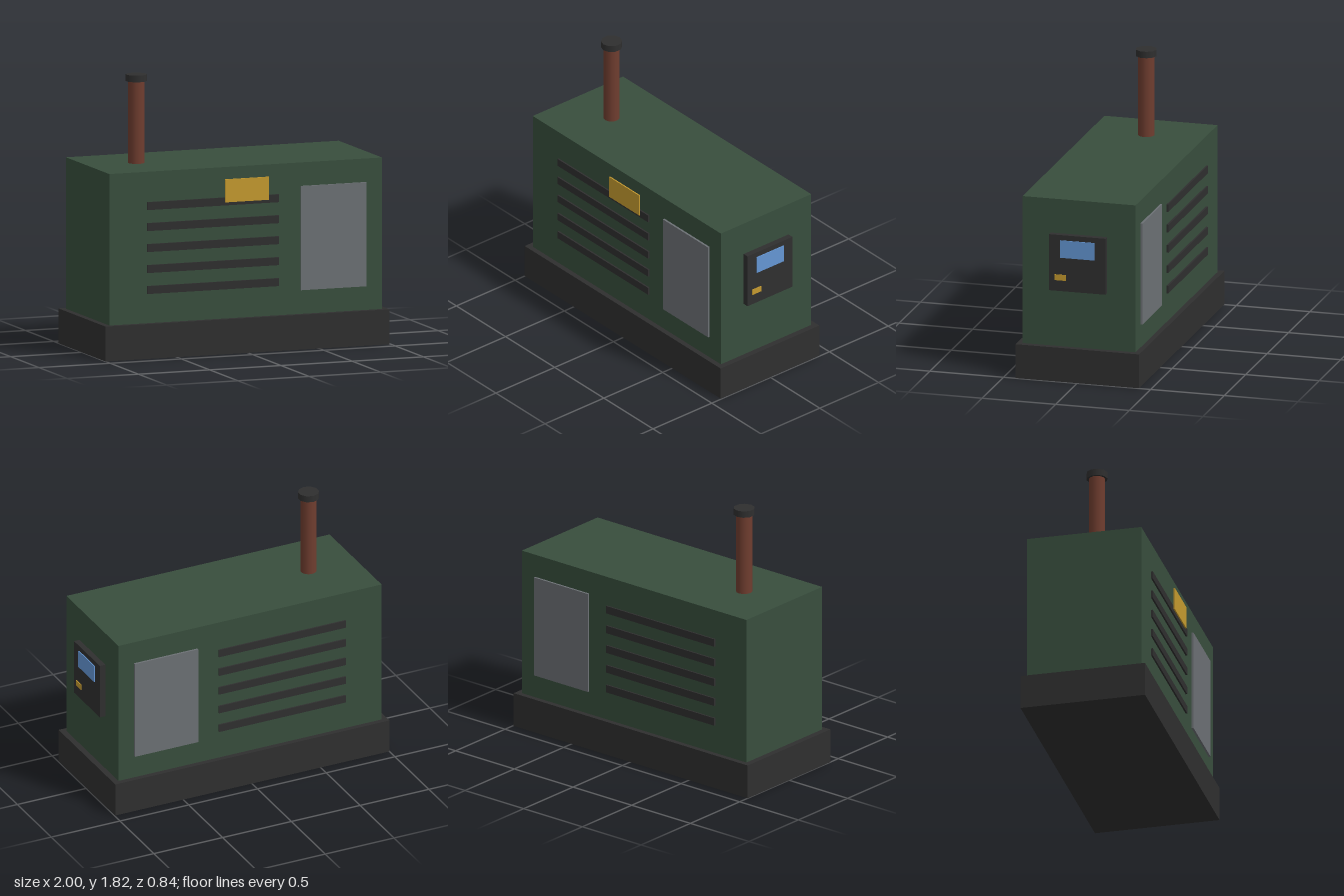
import * as THREE from 'three';

export function createModel() {
  const model = new THREE.Group();
  model.name = 'generator';

  const paint = (name, color) => {
    const m = new THREE.MeshStandardMaterial({ color });
    m.name = name;
    return m;
  };
  const green = paint('housing green', 0x384e3d);
  const dark = paint('dark steel', 0x2f2f2f);
  const grey = paint('door grey', 0x6c7074);
  const yellow = paint('label yellow', 0xc59a2f);
  const blue = paint('screen blue', 0x6496d4);
  const rust = paint('exhaust rust', 0x6f3d2f);

  const add = (name, geometry, material, x, y, z) => {
    const mesh = new THREE.Mesh(geometry, material);
    mesh.name = name;
    mesh.position.set(x, y, z);
    model.add(mesh);
    return mesh;
  };
  // Box given by its limits on each axis
  const box = (name, material, [x0, x1], [y0, y1], [z0, z1]) =>
    add(name, new THREE.BoxGeometry(x1 - x0, y1 - y0, z1 - z0), material,
      (x0 + x1) / 2, (y0 + y1) / 2, (z0 + z1) / 2);

  // Skid base and housing
  box('base', dark, [-1, 0.994], [0, 0.23], [-0.419, 0.419]);
  box('housing', green, [-0.96, 0.954], [0.23, 1.23], [-0.384, 0.384]);

  // Louvers and access door on both long sides
  for (const side of [1, -1]) {
    const label = side > 0 ? 'front' : 'back';
    const depth = (out) => (side > 0 ? [0.375, out] : [-out, -0.375]);
    for (let i = 0; i < 5; i++) {
      const y = 0.45 + i * 0.1385;
      box(`${label}Louver${i + 1}`, dark, [-0.695, 0.227], [y - 0.026, y + 0.026], depth(0.395));
    }
    box(`${label}Door`, grey, [0.38, 0.84], [0.388, 1.075], depth(0.398));
  }

  // Plate on the front
  box('nameplate', yellow, [-0.155, 0.151], [1.0, 1.152], [0.399, 0.408]);

  // Control panel on the end
  box('controlPanel', dark, [0.94, 0.994], [0.617, 0.998], [-0.191, 0.191]);
  box('screen', blue, [0.992, 1], [0.845, 0.963], [-0.116, 0.116]);
  box('indicator', yellow, [0.992, 0.999], [0.69, 0.729], [0.077, 0.154]);

  // Exhaust stack with cap
  add('exhaustPipe', new THREE.CylinderGeometry(0.054, 0.054, 0.56, 14), rust, -0.618, 1.5, 0);
  add('exhaustCap', new THREE.CylinderGeometry(0.07, 0.07, 0.044, 10), dark, -0.618, 1.793, 0);

  return model;
}
